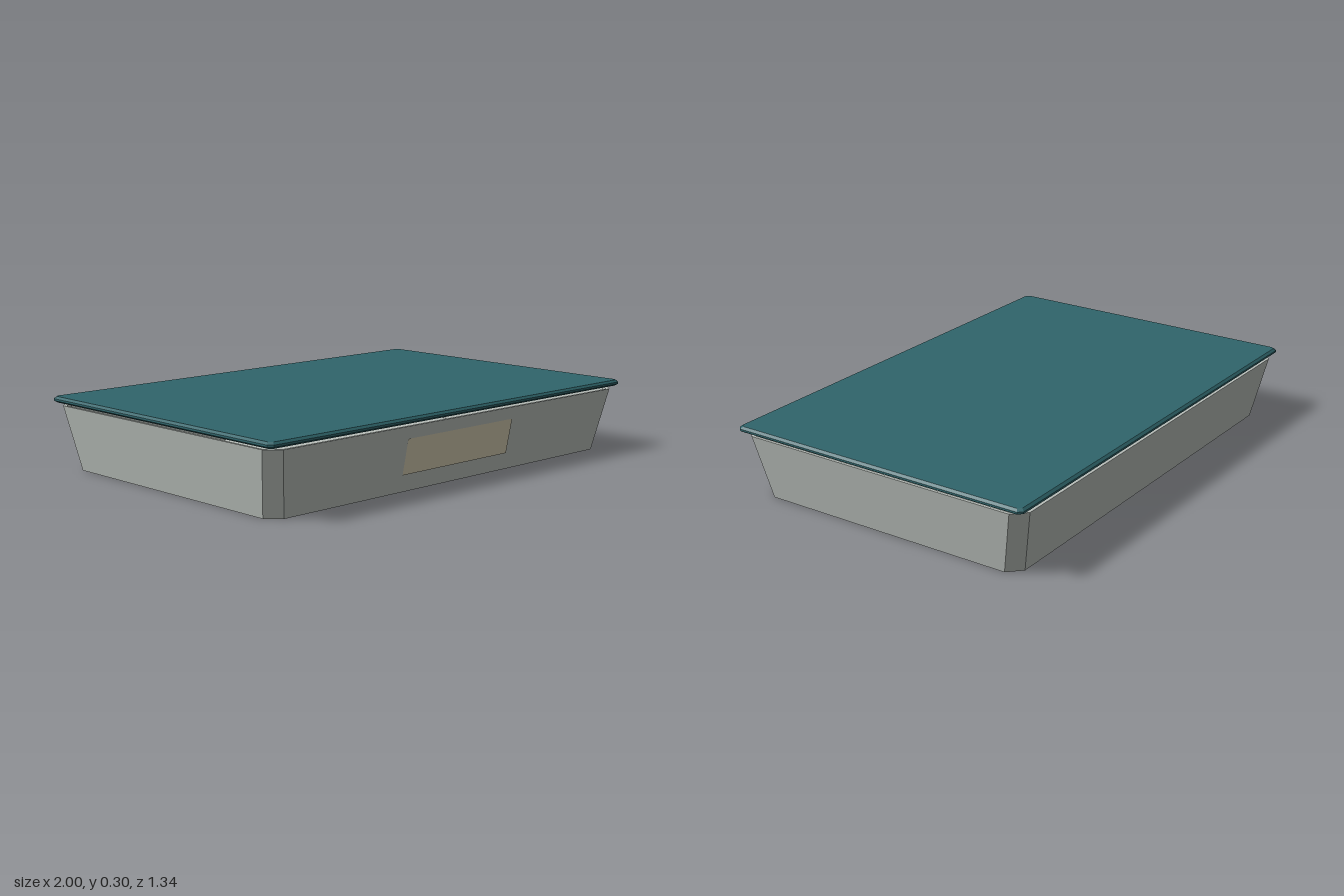
import * as THREE from 'three';

// Corner points of a rectangle with cut corners, counter-clockwise seen from above
function ring(hx, hz, cut, y) {
  return [
    [hx, y, hz - cut], [hx, y, -hz + cut], [hx - cut, y, -hz], [-hx + cut, y, -hz],
    [-hx, y, -hz + cut], [-hx, y, hz - cut], [-hx + cut, y, hz], [hx - cut, y, hz],
  ];
}

// Joins rings into one flat-faced solid, closed at both ends
function loft(rings) {
  const pos = [];
  const tri = (a, b, c) => pos.push(...a, ...b, ...c);
  const n = rings[0].length;
  for (let r = 0; r < rings.length - 1; r++) {
    for (let i = 0; i < n; i++) {
      const j = (i + 1) % n;
      tri(rings[r][i], rings[r][j], rings[r + 1][j]);
      tri(rings[r][i], rings[r + 1][j], rings[r + 1][i]);
    }
  }
  const first = rings[0], last = rings[rings.length - 1];
  for (let i = 1; i < n - 1; i++) {
    tri(first[0], first[i + 1], first[i]);
    tri(last[0], last[i], last[i + 1]);
  }
  const geometry = new THREE.BufferGeometry();
  geometry.setAttribute('position', new THREE.Float32BufferAttribute(pos, 3));
  geometry.computeVertexNormals();
  return geometry;
}

export function createModel() {
  const model = new THREE.Group();
  const add = (name, geometry, color) => {
    const material = new THREE.MeshStandardMaterial({ color, flatShading: true });
    const mesh = new THREE.Mesh(geometry, material);
    mesh.name = name;
    model.add(mesh);
    return mesh;
  };

  // Flared tray: outer wall, narrow rim, inner wall and floor
  add('tray', loft([
    ring(0.938, 0.608, 0.053, 0),
    ring(0.986, 0.662, 0.053, 0.265),
    ring(0.974, 0.65, 0.05, 0.265),
    ring(0.928, 0.598, 0.05, 0.012),
  ]), 0xb8beb9);

  // Thin lid with bevelled edges, sitting just above the rim
  add('lid', loft([
    ring(0.988, 0.658, 0.014, 0.274),
    ring(1, 0.67, 0.016, 0.282),
    ring(1, 0.67, 0.016, 0.29),
    ring(0.99, 0.66, 0.014, 0.299),
  ]), 0x30656b);

  // Blank label lying on the sloped front wall
  const label = add('label', new THREE.PlaneGeometry(0.6, 0.148), 0xd3ccb0);
  label.material.side = THREE.DoubleSide;
  label.position.set(0, 0.143, 0.641);
  label.rotation.x = Math.atan2(0.054, 0.265);

  return model;
}
